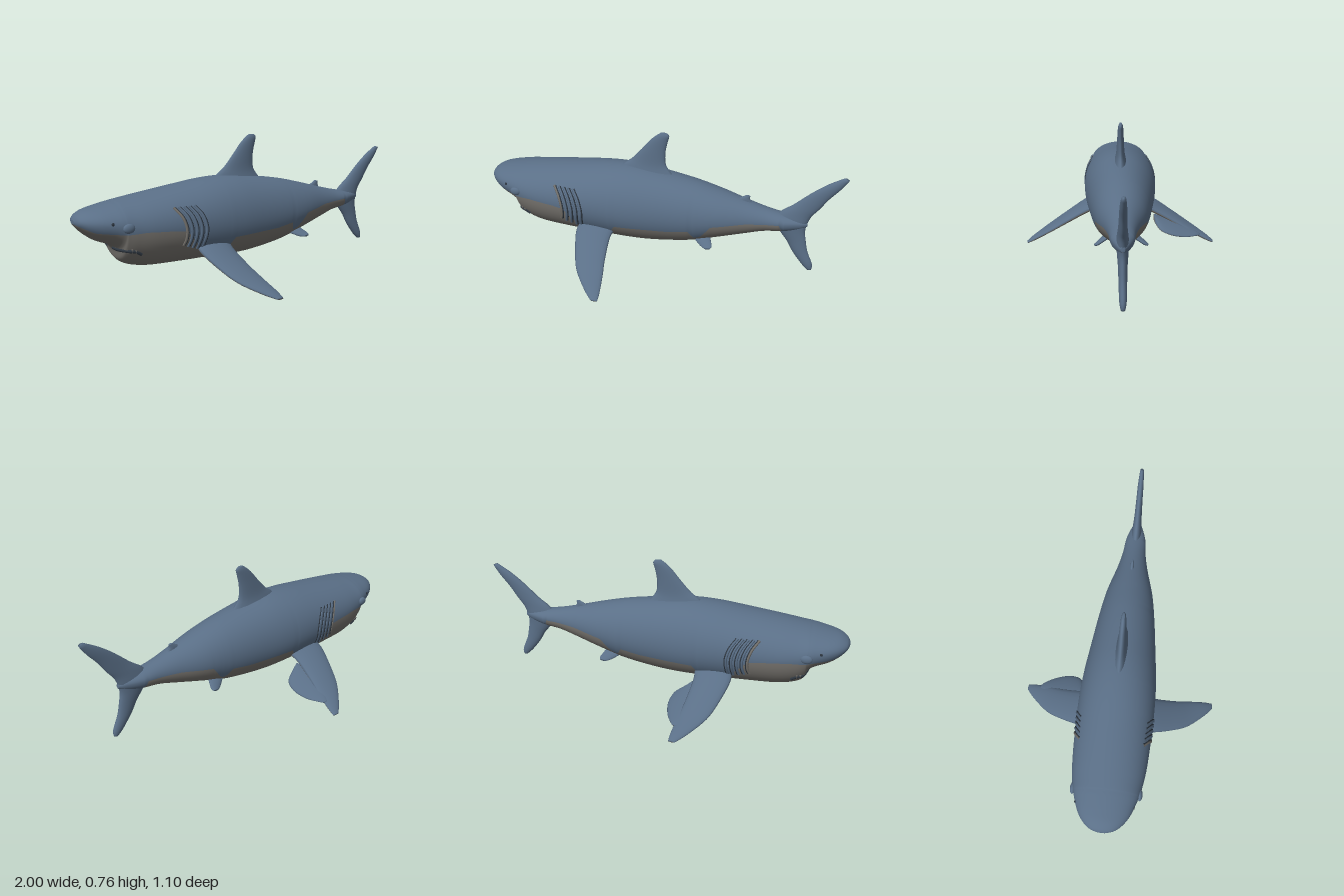
import * as THREE from 'three';

const mat = (name, color) => Object.assign(new THREE.MeshStandardMaterial({ color }), { name });

// Catmull-Rom resampling of a table of stations
function resample(table, count) {
  const out = [], last = table.length - 1;
  for (let k = 0; k <= count; k++) {
    const s = (k / count) * last, i = Math.min(Math.floor(s), last - 1), t = s - i;
    const [a, b, c, d] = [i - 1, i, i + 1, i + 2].map((n) => table[Math.min(Math.max(n, 0), last)]);
    out.push(b.map((_, n) => 0.5 * (2 * b[n] + (c[n] - a[n]) * t
      + (2 * a[n] - 5 * b[n] + 4 * c[n] - d[n]) * t * t
      + (3 * b[n] - a[n] - 3 * c[n] + d[n]) * t * t * t)));
  }
  return out;
}

// Closed skin through rings; faces before index `split` use material 0, the rest material 1
function loft(rings, split) {
  const n = rings[0].length, pts = rings.flat(), faces = [[], []];
  const add = (j, a, b, c) => faces[j < split ? 0 : 1].push([a, b, c]);
  for (let i = 0; i < rings.length - 1; i++) {
    for (let j = 0; j < n; j++) {
      const a = i * n + j, b = i * n + (j + 1) % n;
      add(j, a, b, a + n);
      add(j, b, b + n, a + n);
    }
  }
  for (const i of [0, rings.length - 1]) {
    const centre = rings[i].reduce((s, p) => s.add(p), new THREE.Vector3()).divideScalar(n);
    const c = pts.push(centre) - 1;
    for (let j = 0; j < n; j++) {
      const a = i * n + j, b = i * n + (j + 1) % n;
      if (i === 0) add(j, b, a, c); else add(j, a, b, c);
    }
  }
  // Turn the skin outwards
  let volume = 0;
  const cross = new THREE.Vector3();
  for (const [a, b, c] of faces.flat()) volume += pts[a].dot(cross.crossVectors(pts[b], pts[c]));
  if (volume < 0) faces.flat().forEach((f) => f.reverse());
  const g = new THREE.BufferGeometry().setFromPoints(pts);
  g.setIndex(faces.flat(2));
  g.addGroup(0, faces[0].length * 3, 0);
  g.addGroup(faces[0].length * 3, faces[1].length * 3, 1);
  g.computeVertexNormals();
  return g;
}

// Fin stations: leading point, trailing point, half thickness
function finGeometry(stations, normal, side = 1) {
  const n = 18, dir = new THREE.Vector3(normal[0], normal[1], normal[2] * side).normalize();
  const rings = resample(stations, 30).map(([lx, ly, lz, tx, ty, tz, h]) => {
    const lead = new THREE.Vector3(lx, ly, lz * side), trail = new THREE.Vector3(tx, ty, tz * side);
    return Array.from({ length: n }, (_, j) => {
      const a = (j / n) * Math.PI * 2;
      return lead.clone().lerp(trail, (1 - Math.cos(a)) / 2).addScaledVector(dir, Math.sin(a) * h);
    });
  });
  return loft(rings, n / 2);
}

// Body stations: x, top, bottom, height of widest point, half width
const BODY = [
  [-1, .405, .385, .395, .02], [-.985, .425, .365, .395, .065], [-.95, .445, .33, .39, .105],
  [-.9, .458, .295, .385, .137], [-.83, .472, .265, .375, .163], [-.8, .477, .235, .37, .172],
  [-.785, .48, .185, .365, .176], [-.74, .487, .155, .35, .185], [-.65, .5, .135, .34, .197],
  [-.5, .52, .128, .335, .205], [-.3, .545, .125, .33, .208], [-.15, .55, .12, .325, .2],
  [0, .535, .125, .325, .183], [.2, .505, .155, .325, .158], [.35, .47, .2, .33, .132],
  [.5, .43, .245, .335, .09], [.6, .405, .275, .34, .068], [.7, .385, .29, .345, .056],
  [.78, .37, .31, .345, .03], [.82, .355, .33, .343, .01],
];
// Height of the line between back and belly colours along x
const COLOUR_LINE = [
  [-1, .385], [-.93, .35], [-.8, .335], [-.7, .34], [-.55, .33], [-.49, .32], [-.42, .24], [-.39, .2],
  [-.23, .19], [-.2, .25], [.1, .255], [.21, .27], [.24, .215], [.27, .23], [.33, .31],
  [.5, .335], [.68, .342], [.71, .25], [.9, .2],
];
const lineAt = (x) => {
  const i = Math.max(1, COLOUR_LINE.findIndex((p) => p[0] >= x));
  const [a, b] = [COLOUR_LINE[i - 1], COLOUR_LINE[i]];
  return THREE.MathUtils.mapLinear(x, a[0], b[0], a[1], b[1]);
};
const SECTIONS = resample(BODY, 240);

// Point on the flank at a given x and y
function flank(x, y, side) {
  const s = SECTIONS.reduce((p, q) => (Math.abs(q[0] - x) < Math.abs(p[0] - x) ? q : p));
  const k = (y - s[3]) / (y > s[3] ? s[1] - s[3] : s[3] - s[2]);
  return new THREE.Vector3(x, y, side * s[4] * Math.sqrt(Math.max(0, 1 - k * k)));
}

function bodyGeometry() {
  const upper = 40, lower = 24;
  const rings = SECTIONS.map(([x, top, bottom, mid, w]) => {
    const y = lineAt(x), k = (y - mid) / (y > mid ? top - mid : mid - bottom);
    const edge = Math.asin(THREE.MathUtils.clamp(k, -.995, .9));
    return Array.from({ length: upper + lower }, (_, j) => {
      const a = j < upper
        ? edge + (Math.PI - 2 * edge) * (j / upper)
        : Math.PI - edge + (Math.PI + 2 * edge) * ((j - upper) / lower);
      const s = Math.sin(a);
      return new THREE.Vector3(x, mid + s * (s > 0 ? top - mid : mid - bottom), w * Math.cos(a));
    });
  });
  return loft(rings, upper);
}

const DORSAL = [
  [-.24, .5, 0, .12, .48, 0, .045], [-.2, .552, 0, .07, .535, 0, .03], [-.15, .59, 0, .042, .58, 0, .023],
  [-.095, .65, 0, .04, .65, 0, .019], [-.045, .71, 0, .052, .71, 0, .016],
  [-.01, .742, 0, .06, .742, 0, .013], [.015, .76, 0, .05, .757, 0, .007],
];
const SECOND_DORSAL = [
  [.42, .425, 0, .53, .41, 0, .012], [.46, .447, 0, .51, .44, 0, .01], [.49, .465, 0, .51, .46, 0, .006],
];
const TAIL = [
  [.845, .067, 0, .868, .07, 0, .01], [.81, .1, 0, .868, .105, 0, .017], [.755, .17, 0, .836, .18, 0, .02],
  [.72, .23, 0, .82, .25, 0, .022], [.68, .28, 0, .812, .3, 0, .026], [.64, .34, 0, .82, .35, 0, .03],
  [.675, .4, 0, .837, .395, 0, .025], [.74, .452, 0, .87, .44, 0, .021], [.82, .528, 0, .915, .51, 0, .018],
  [.9, .592, 0, .963, .57, 0, .016], [.975, .638, 0, 1, .628, 0, .01],
];
const PECTORAL = [
  [-.4, .235, .12, -.2, .22, .12, .03], [-.415, .2, .2, -.215, .185, .2, .027],
  [-.375, .13, .32, -.2, .122, .32, .022], [-.33, .08, .41, -.18, .075, .41, .017],
  [-.25, .034, .5, -.163, .032, .5, .013], [-.195, .01, .548, -.16, .01, .545, .006],
];
// Loose lobe behind one pectoral fin only
const LOBE = [
  [-.22, .165, .2, -.18, .13, .205, .01], [-.24, .15, .235, -.12, .1, .235, .014],
  [-.24, .125, .3, -.1, .075, .3, .014], [-.23, .095, .38, -.115, .058, .38, .012],
  [-.21, .07, .44, -.145, .054, .44, .008], [-.19, .055, .47, -.165, .05, .465, .005],
];
const PELVIC = [
  [.19, .215, .045, .31, .23, .045, .016], [.23, .2, .085, .325, .207, .085, .013],
  [.275, .18, .12, .34, .188, .12, .01], [.305, .175, .138, .335, .18, .138, .006],
];

export function createModel() {
  const back = mat('slate blue skin', 0x5a6f87);
  const belly = mat('warm grey belly', 0x75726d);
  const dark = mat('dark crease', 0x2f3842);
  const root = new THREE.Group();
  root.name = 'shark';
  const add = (name, geometry, material) => {
    const m = new THREE.Mesh(geometry, material);
    m.name = name;
    root.add(m);
    return m;
  };
  const crease = (name, points, radius, material) =>
    add(name, new THREE.TubeGeometry(new THREE.CatmullRomCurve3(points), 24, radius, 6), material);

  add('body', bodyGeometry(), [back, belly]);
  add('dorsalFin', finGeometry(DORSAL, [0, 0, 1]), [back, back]);
  add('secondDorsalFin', finGeometry(SECOND_DORSAL, [0, 0, 1]), [back, back]);
  add('tailFin', finGeometry(TAIL, [0, 0, 1]), [back, back]);
  add('pectoralLobe', finGeometry(LOBE, [.3, .87, .4], -1), [back, belly]);

  for (const side of [1, -1]) {
    const s = side > 0 ? 'left' : 'right';
    add(s + 'PectoralFin', finGeometry(PECTORAL, [0, .87, .5], side), [back, belly]);
    add(s + 'PelvicFin', finGeometry(PELVIC, [0, .9, .45], side), [back, back]);

    // Eye and nostril
    const eye = add(s + 'Eye', new THREE.SphereGeometry(.028, 20, 14), back);
    eye.position.copy(flank(-.79, .368, side));
    eye.scale.set(1.1, .85, .5);
    const nostril = add(s + 'Nostril', new THREE.SphereGeometry(.008, 10, 8), dark);
    nostril.position.copy(flank(-.86, .392, side));
    nostril.scale.z = .5;

    // Gill slits, each a dark crease behind a raised fold
    for (let i = 0; i < 5; i++) {
      const x = -.54 + i * .028, low = .25 - i * .01;
      const arc = (dx) => [[0, .44], [.035, .39], [.052, .33], [.05, .28], [.04, low]]
        .map(([ox, y]) => flank(x + ox + dx, y, side));
      crease(s + 'GillSlit', arc(0), .0045, dark);
      crease(s + 'GillFold', arc(-.008), .007, i < 1 ? belly : back);
    }

    // Mouth line and teeth
    const lip = [[-.72, .228], [-.75, .246], [-.778, .25], [-.8, .246], [-.81, .25]]
      .map(([x, y]) => flank(x, y, side));
    crease(s + 'Mouth', lip, .009, dark);
    const curve = new THREE.CatmullRomCurve3(lip);
    for (let i = 0; i < 5; i++) {
      const tooth = add(s + 'Tooth', new THREE.ConeGeometry(.006, .022, 5), belly);
      tooth.position.copy(curve.getPoint(.25 + i * .15));
      tooth.position.z += side * .006;
      tooth.rotation.x = Math.PI;
    }
  }
  return root;
}
